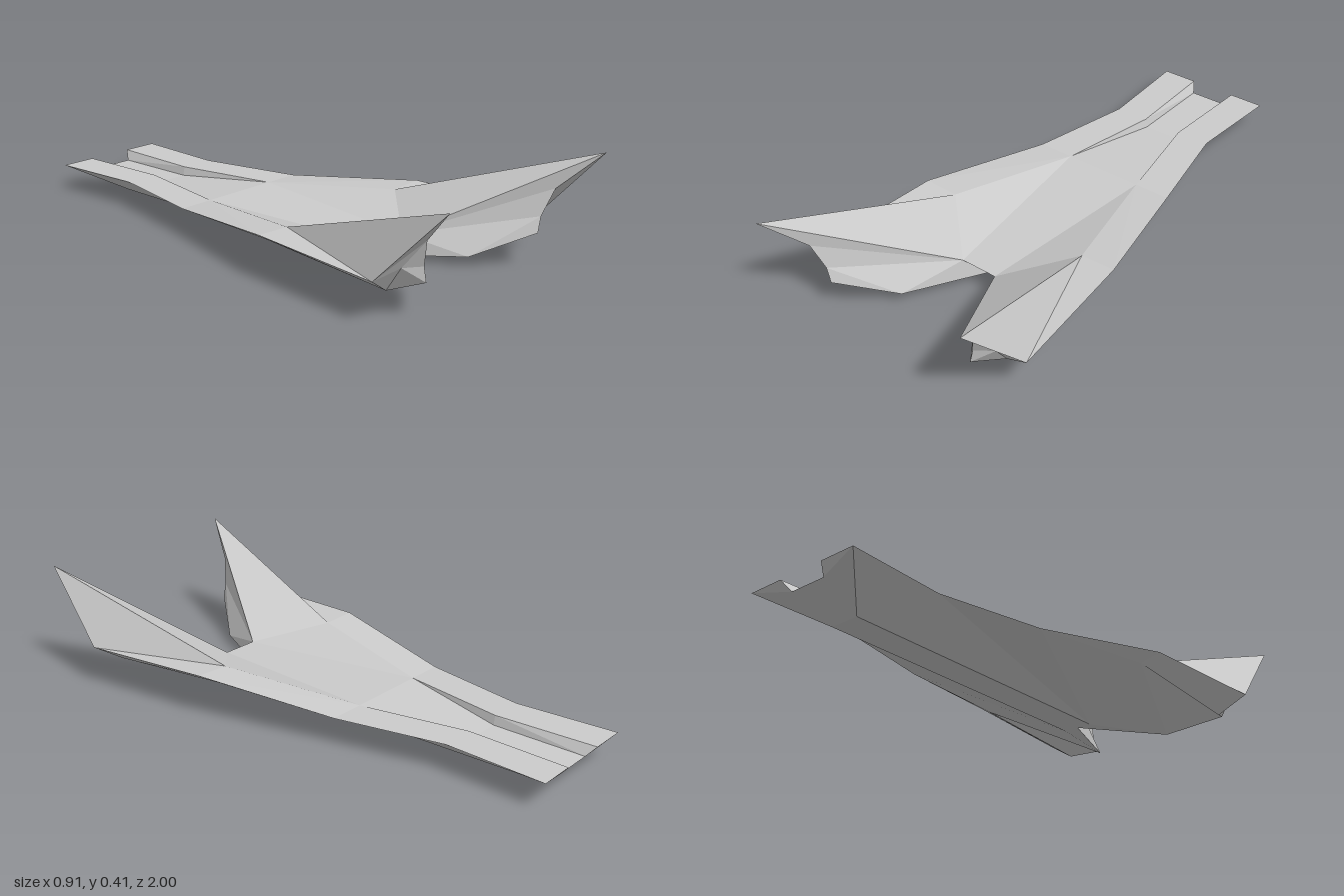
import * as THREE from 'three';

// Corner points of the +x half; a trailing "c" marks points on the centre line
const P = {
  // rear channel floor and its walls
  H0c: [0, 0.065, -0.97], H0: [0.07, 0.065, -0.97],
  H1c: [0, 0.07, -0.63], H1: [0.07, 0.07, -0.63],
  W0: [0.09, 0.1, -1], W1: [0.077, 0.103, -0.63],
  // deck
  Gc: [0, 0.105, -0.24], G: [0.15, 0.105, -0.24],
  Nc: [0, 0.09, 0.46], N: [0.07, 0.09, 0.46], A: [0.28, 0.155, 0.26],
  // outer edge, rear to front, and prong tip
  O0: [0.225, 0.1, -1], O1: [0.205, 0.103, -0.63], O2: [0.285, 0.105, -0.24],
  B: [0.41, 0.16, 0.26], C: [0.453, 0.15, 0.76], T: [0.42, 0.405, 1],
  // keel and lower side
  Rc: [0, 0, -0.82], R: [0.055, 0, -0.82], Kc: [0, 0, 0.32], K: [0.055, 0, 0.32],
  E: [0.35, 0.125, 0.23], L: [0.35, 0.085, 0.73], M: [0.157, 0.037, 0.67],
  // prong nose
  S: [0.3, 0.125, 0.84], Q: [0.313, 0.18, 0.84], D: [0.37, 0.18, 0.8], F: [0.343, 0.275, 0.87],
};

// Faces of each part, as loops of corners seen counter-clockwise from outside
const PARTS = {
  deck: ['Gc Nc N G', 'G N A', 'W0 W1 O1 O0', 'W1 G O2 O1', 'G A B O2', 'A C B'],
  rearChannel: ['H0c H1c H1 H0', 'H1c Gc G H1', 'H0 H1 W1 W0', 'H1 G W1'],
  raisedFins: ['A N T', 'A T C'],
  lowerHull: ['O0 O1 R', 'O1 K R', 'O1 O2 K', 'O2 E K', 'O2 B E', 'B C L E',
    'E L S M', 'E M K', 'Rc R K Kc', 'K M Kc'],
  rearCap: ['R Rc H0c H0', 'O0 R H0 W0'],
  notchFront: ['N Kc M', 'Nc Kc N'],
  prongNoses: ['N M Q', 'M S Q', 'N Q F', 'N F T', 'F D C', 'F C T',
    'D L C', 'S L D', 'Q S D', 'Q D F'],
};

// Fan each loop into triangles and mirror it to the other half
function buildGeometry(loops) {
  const pos = [];
  for (const loop of loops) {
    const pts = loop.split(' ').map((name) => P[name]);
    for (let i = 1; i < pts.length - 1; i++) {
      const tri = [pts[0], pts[i], pts[i + 1]];
      for (const p of tri) pos.push(...p);
      for (const [x, y, z] of tri.reverse()) pos.push(-x, y, z);
    }
  }
  const geo = new THREE.BufferGeometry();
  geo.setAttribute('position', new THREE.Float32BufferAttribute(pos, 3));
  geo.computeVertexNormals();
  return geo;
}

export function createModel() {
  const group = new THREE.Group();
  group.name = 'forkedHull';
  const material = new THREE.MeshStandardMaterial({
    color: 0xcccccc, flatShading: true, side: THREE.DoubleSide,
  });
  for (const [name, loops] of Object.entries(PARTS)) {
    const mesh = new THREE.Mesh(buildGeometry(loops), material);
    mesh.name = name;
    group.add(mesh);
  }
  return group;
}
